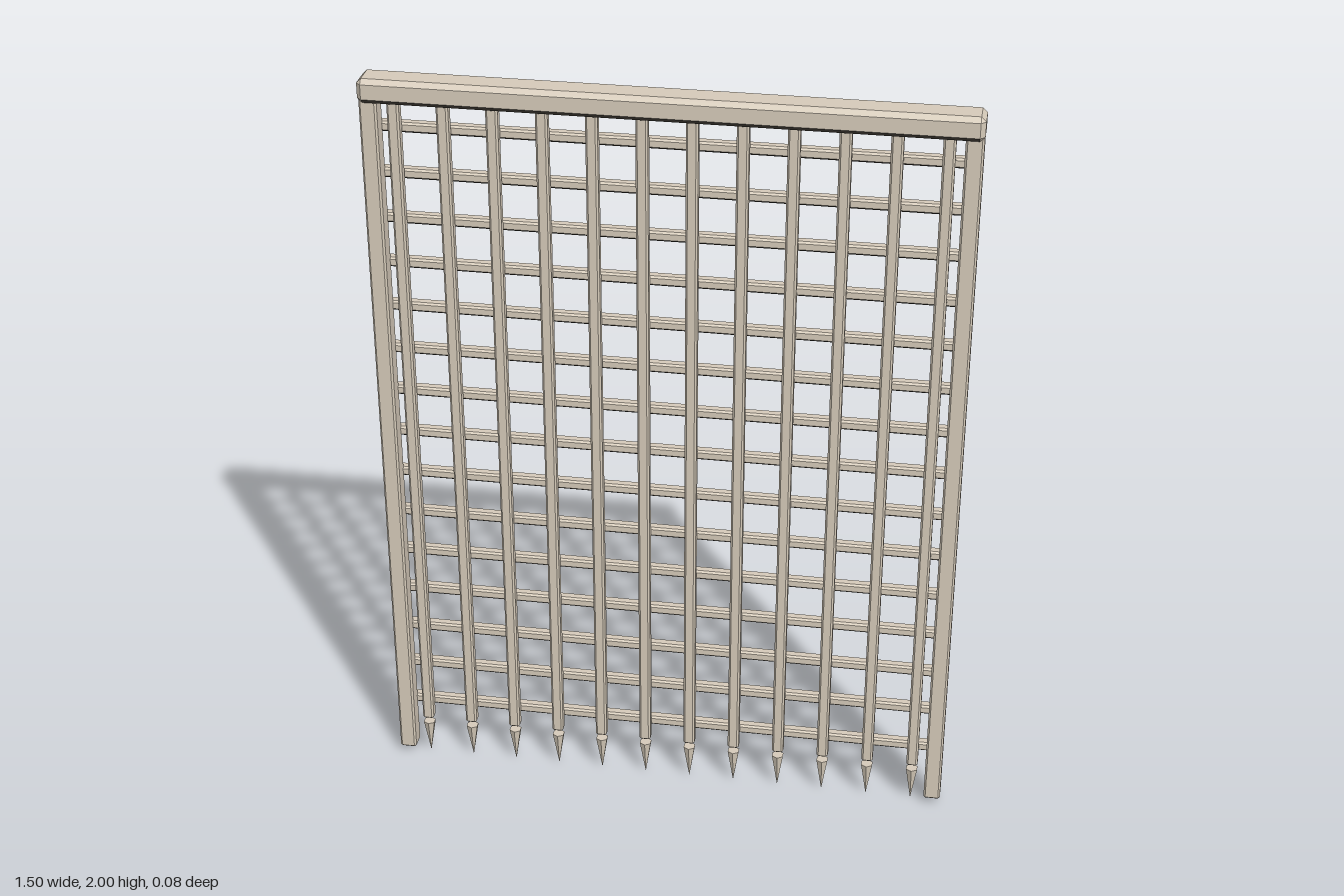
import * as THREE from 'three';
import { ConvexGeometry } from 'three/addons/geometries/ConvexGeometry.js';

// Box with every edge cut at 45 degrees; material 1 goes on the faces that look down
function chamferBox(w, h, d, c) {
  const half = [w / 2, h / 2, d / 2];
  const points = [];
  for (const sx of [-1, 1]) for (const sy of [-1, 1]) for (const sz of [-1, 1]) {
    for (let axis = 0; axis < 3; axis++) {
      const p = half.map((v, i) => (i === axis ? v : v - c));
      points.push(new THREE.Vector3(p[0] * sx, p[1] * sy, p[2] * sz));
    }
  }
  const geometry = new ConvexGeometry(points);
  const normal = geometry.attributes.normal;
  for (let i = 0; i < normal.count; i += 3) {
    geometry.addGroup(i, 3, normal.getY(i) < -0.6 ? 1 : 0);
  }
  return geometry;
}

export function createModel() {
  const group = new THREE.Group();
  group.name = 'portcullis';
  const iron = new THREE.MeshStandardMaterial({ color: 0xd6cbba });
  iron.name = 'pale iron';
  const dark = new THREE.MeshStandardMaterial({ color: 0x4a453d });
  dark.name = 'dark underside';

  const add = (name, geometry, x, y, z, material = [iron, dark]) => {
    const mesh = new THREE.Mesh(geometry, material);
    mesh.name = name;
    mesh.position.set(x, y, z);
    group.add(mesh);
  };

  // Top beam
  add('topBeam', chamferBox(1.5, 0.062, 0.082, 0.012), 0, 1.969, 0);

  // Side posts
  const post = chamferBox(0.044, 1.936, 0.05, 0.005);
  add('leftPost', post, 0.727, 0.988, 0.003);
  add('rightPost', post, -0.727, 0.988, 0.003);

  // Upright bars, each with a spike hanging just below
  const upright = chamferBox(0.03, 1.84, 0.03, 0.005);
  const spike = new THREE.ConeGeometry(0.017, 0.1, 6).toNonIndexed();
  spike.rotateX(Math.PI);
  spike.computeVertexNormals();
  const pitch = 0.1215;
  for (let i = 0; i < 12; i++) {
    const x = (i - 5.5) * pitch;
    add('uprightBar', upright, x, 1.036, 0.003);
    add('spike', spike, x, 0.05, 0.003, iron);
  }

  // Cross bars on the back
  const cross = chamferBox(1.46, 0.026, 0.028, 0.005);
  for (let i = 0; i < 15; i++) add('crossBar', cross, 0, 0.16 + i * pitch, -0.027);

  return group;
}
